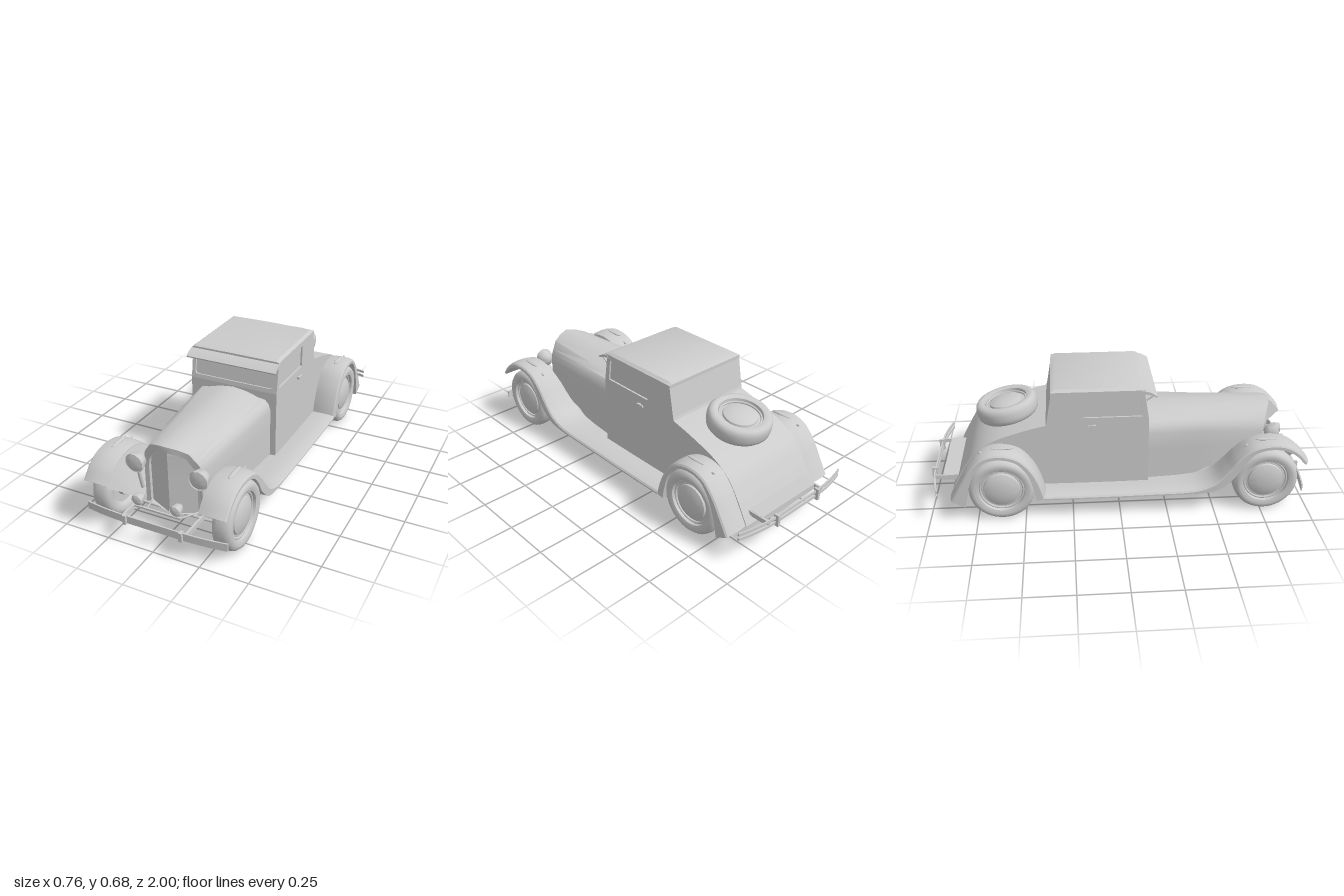
import * as THREE from 'three';
import { toCreasedNormals } from 'three/addons/utils/BufferGeometryUtils.js';

const mat = new THREE.MeshStandardMaterial({ color: 0xcccccc, side: THREE.DoubleSide });

export function createModel() {
  const root = new THREE.Group();
  const add = (name, geo, x = 0, y = 0, z = 0, parent = root) => {
    const m = new THREE.Mesh(geo, mat);
    m.name = name;
    m.position.set(x, y, z);
    parent.add(m);
    return m;
  };
  const box = (w, h, d) => new THREE.BoxGeometry(w, h, d);
  const v2 = (p) => p.map(([a, b]) => new THREE.Vector2(a, b));
  const lathe = (pts, seg = 40) => toCreasedNormals(new THREE.LatheGeometry(v2(pts), seg), 0.7);
  const rod = (name, a, b, r) => {
    const p = new THREE.Vector3(...a), q = new THREE.Vector3(...b);
    add(name, new THREE.TubeGeometry(new THREE.LineCurve3(p, q), 1, r, 8));
  };

  // Skin a series of equal-length cross-sections
  const loft = (rings, closed = false, caps = false) => {
    const n = rings[0].length, idx = [];
    for (let i = 0; i + 1 < rings.length; i++)
      for (let j = 0; j < (closed ? n : n - 1); j++) {
        const k = (j + 1) % n, a = i * n + j, b = i * n + k;
        idx.push(a, b, a + n, b, b + n, a + n);
      }
    if (caps)
      for (const o of [0, (rings.length - 1) * n])
        for (let j = 1; j < n - 1; j++) o ? idx.push(o, o + j, o + j + 1) : idx.push(o, o + j + 1, o + j);
    const g = new THREE.BufferGeometry();
    g.setAttribute('position', new THREE.Float32BufferAttribute(rings.flat(2), 3));
    g.setIndex(idx);
    return toCreasedNormals(g, 0.6);
  };

  // Extrude a (z, y) outline across x
  const across = (shape, x0, width) => {
    const g = new THREE.ExtrudeGeometry(shape, { depth: width, bevelEnabled: false, curveSegments: 16 });
    g.rotateY(-Math.PI / 2).translate(x0 + width, 0, 0);
    return toCreasedNormals(g, 0.5);
  };
  const roundRect = (x0, y0, x1, y1, r, T = THREE.Path) => {
    const p = new T();
    p.moveTo(x0 + r, y0);
    p.lineTo(x1 - r, y0); p.quadraticCurveTo(x1, y0, x1, y0 + r);
    p.lineTo(x1, y1 - r); p.quadraticCurveTo(x1, y1, x1 - r, y1);
    p.lineTo(x0 + r, y1); p.quadraticCurveTo(x0, y1, x0, y1 - r);
    p.lineTo(x0, y0 + r); p.quadraticCurveTo(x0, y0, x0 + r, y0);
    return p;
  };

  // Lower body with sloping rear deck
  const body = new THREE.Shape(v2([[0.155, 0.115], [0.155, 0.5], [-0.375, 0.5], [-0.38, 0.485]]));
  body.splineThru(v2([[-0.5, 0.455], [-0.65, 0.405], [-0.75, 0.34], [-0.82, 0.245], [-0.885, 0.125]]));
  body.lineTo(-0.2, 0.112);
  add('lowerBody', across(body, -0.25, 0.5));

  // Cabin: sides with window openings, back wall, windscreen, roof and visor
  const side = () => new THREE.Shape(v2([[0.155, 0.5], [0.13, 0.66], [-0.347, 0.66], [-0.375, 0.5]]));
  for (const s of [1, -1]) {
    const panel = side();
    panel.holes.push(new THREE.Path(v2([[0.122, 0.522], [-0.186, 0.522], [-0.19, 0.638], [0.108, 0.638]])));
    add('cabinSide', across(panel, s > 0 ? 0.232 : -0.25, 0.018));
    add('sideGlass', box(0.006, 0.14, 0.34), s * 0.237, 0.58, -0.035);
    add('doorHandlePost', box(0.016, 0.014, 0.014), s * 0.256, 0.475, -0.13);
    add('doorHandle', box(0.008, 0.01, 0.045), s * 0.262, 0.478, -0.14);
  }
  const back = new THREE.Shape(v2([[-0.375, 0.5], [-0.347, 0.66], [-0.32, 0.66], [-0.345, 0.5]]));
  add('cabinBack', across(back, -0.25, 0.5));

  const screen = new THREE.Group();
  screen.name = 'windscreen';
  screen.position.set(0, 0.5, 0.155);
  screen.rotation.x = -0.155;
  root.add(screen);
  const frame = new THREE.Shape(v2([[-0.25, 0], [0.25, 0], [0.25, 0.16], [-0.25, 0.16]]));
  frame.holes.push(roundRect(-0.23, 0.023, 0.23, 0.132, 0.02));
  add('windscreenFrame', new THREE.ExtrudeGeometry(frame, { depth: 0.018, bevelEnabled: false }), 0, 0, -0.018, screen);
  add('windscreenGlass', box(0.48, 0.13, 0.004), 0, 0.078, -0.013, screen);

  const roofAt = (z, k) => [[-0.252, 0.655], [-0.252, 0.67], [-0.236, 0.67 + 0.012 * k], [0, 0.67 + 0.016 * k],
    [0.236, 0.67 + 0.012 * k], [0.252, 0.67], [0.252, 0.655]].map(([x, y]) => [x, y, z]);
  add('roof', loft([roofAt(0.135, 0.3), roofAt(0.11, 1), roofAt(-0.325, 1), roofAt(-0.35, 0.2)], true, true));
  const visor = new THREE.Shape(v2([[0.12, 0.668], [0.16, 0.658], [0.195, 0.637], [0.192, 0.63], [0.155, 0.645], [0.12, 0.652]]));
  add('sunVisor', across(visor, -0.256, 0.512));
  for (const s of [1, -1]) rod('visorBracket', [s * 0.24, 0.61, 0.14], [s * 0.24, 0.64, 0.185], 0.005);

  // Hood, radiator shell and recessed V-shaped grille in one skin
  const hoodRing = (w, shoulder, z, sweep, sx = 1, drop = 0) => {
    const half = [[1, 0.12], [1, 0.3], [1, shoulder], [0.95, shoulder + 0.035], [0.85, shoulder + 0.057],
      [0.66, 0.463], [0.35, 0.483], [0, 0.493]];
    const pt = (s) => ([k, y]) => [s * k * w * sx, y > 0.3 ? y - drop : y, z - sweep * k ** 1.3];
    return [...half.map(pt(1)), ...half.slice(0, -1).reverse().map(pt(-1))];
  };
  add('hoodAndGrille', loft([
    hoodRing(0.218, 0.4, 0.15, 0), hoodRing(0.196, 0.39, 0.45, 0.01), hoodRing(0.162, 0.365, 0.835, 0.055),
    hoodRing(0.158, 0.363, 0.845, 0.057), hoodRing(0.158, 0.363, 0.845, 0.057, 0.84, 0.03),
    hoodRing(0.158, 0.363, 0.828, 0.057, 0.83, 0.031),
  ]));
  const gr = hoodRing(0.158, 0.363, 0.828, 0.057, 0.83, 0.031);
  add('grille', loft([gr, gr.map(([, y]) => [0, y, 0.832])]));
  add('noseFloor', loft([[[-0.21, 0.12, 0.15], [0.21, 0.12, 0.15]], [[-0.158, 0.12, 0.785], [0.158, 0.12, 0.785]],
    [[-0.01, 0.12, 0.83], [0.01, 0.12, 0.83]]]));

  // Fenders and running boards: path points are z, y, thickness
  const frontPath = [[0.985, 0.29, 0.025], [0.93, 0.35, 0.028], [0.86, 0.389, 0.03], [0.77, 0.398, 0.03], [0.68, 0.375, 0.035],
    [0.61, 0.315, 0.045], [0.56, 0.25, 0.055], [0.5, 0.185, 0.05], [0.43, 0.152, 0.032], [0.34, 0.14, 0.023],
    [0.2, 0.138, 0.022], [0, 0.136, 0.022], [-0.2, 0.136, 0.022], [-0.4, 0.138, 0.022]];
  const rearPath = [[-0.39, 0.125, 0.05], [-0.41, 0.2, 0.045], [-0.45, 0.29, 0.035], [-0.52, 0.367, 0.03], [-0.62, 0.396, 0.03],
    [-0.71, 0.377, 0.03], [-0.78, 0.31, 0.038], [-0.835, 0.22, 0.055], [-0.885, 0.13, 0.085]];
  const sample = (path, n) => new THREE.CatmullRomCurve3(path.map((p) => new THREE.Vector3(...p)), false, 'centripetal').getPoints(n);
  const fender = (pts, s, inner) => loft(pts.map((p, i) => {
    const a = pts[Math.max(i - 1, 0)], b = pts[Math.min(i + 1, pts.length - 1)];
    const dz = b.x - a.x, dy = b.y - a.y, l = Math.hypot(dz, dy);
    const nz = dy / l, ny = -dz / l, xi = inner(p.x);
    return [[xi, -p.z], [xi, -0.008], [0.28, 0], [0.315, 0.002], [0.35, 0], [0.374, -0.006], [0.381, -0.014], [0.381, -p.z]]
      .map(([x, o]) => [s * x, p.y + ny * o, p.x + nz * o]);
  }), true, true);
  const innerX = (z) => 0.2 + 0.04 * THREE.MathUtils.smoothstep(z, 0.45, 0.7);
  const front = sample(frontPath, 70), rear = sample(rearPath, 44);
  for (const s of [1, -1]) {
    add('frontFenderAndRunningBoard', fender(front, s, innerX));
    add('rearFender', fender(rear, s, () => 0.24));
    // Splash apron between front fender and frame
    add('fenderApron', loft(front.filter((p) => p.x > 0.35).map((p) => {
      const z = Math.min(p.x, 0.84), low = Math.min(0.16, p.y - 0.01), x = 0.168 + 0.03 * (0.84 - z);
      return [[s * innerX(p.x), p.y - 0.012, p.x], [s * (innerX(p.x) * 0.6 + x * 0.4), p.y * 0.5 + low * 0.5, (p.x + z) / 2], [s * x, low, z]];
    })));
    // Fender lamps
    for (const [z, y, len] of [[0.765, 0.4, 0.06], [0.66, 0.366, 0.012], [-0.605, 0.397, 0.058], [-0.715, 0.377, 0.012]]) {
      const lamp = add('fenderLamp', new THREE.SphereGeometry(1, 16, 10), s * 0.315, y, z);
      lamp.scale.set(len > 0.02 ? 0.012 : 0.006, 0.007, len);
      if (len < 0.02) lamp.rotation.x = Math.sign(z) * -0.45;
    }
  }

  // Wheels, with axis along x and the hub facing +x
  const tire = [[0.105, -0.03], [0.118, -0.044], [0.14, -0.051], [0.158, -0.047], [0.169, -0.034], [0.173, -0.015],
    [0.173, 0.015], [0.169, 0.034], [0.158, 0.047], [0.14, 0.051], [0.12, 0.044], [0.117, 0.03]];
  const disc = [[0, -0.025], [0.105, -0.03], [0.106, 0.022], [0.094, 0.024], [0.091, 0.034], [0.07, 0.043], [0.04, 0.049], [0, 0.051]];
  const wheel = (name, x, y, z) => {
    const g = new THREE.Group();
    g.name = name;
    g.position.set(x, y, z);
    add('tire', lathe(tire, 48).rotateZ(-Math.PI / 2), 0, 0, 0, g);
    add('hubcap', lathe(disc, 48).rotateZ(-Math.PI / 2), 0, 0, 0, g);
    add('rimRing', new THREE.TorusGeometry(0.112, 0.006, 8, 48).rotateY(Math.PI / 2), 0.026, 0, 0, g);
    add('brakeDrum', new THREE.CylinderGeometry(0.065, 0.065, 0.03, 28).rotateZ(Math.PI / 2), -0.04, 0, 0, g);
    root.add(g);
    return g;
  };
  for (const s of [1, -1])
    for (const [name, z] of [['frontWheel', 0.768], ['rearWheel', -0.618]])
      wheel(name, s * 0.326, 0.176, z).rotation.y = s > 0 ? 0 : Math.PI;
  const spare = wheel('spareWheel', 0, 0.487, -0.588);
  spare.scale.setScalar(0.96);
  spare.rotation.set(-0.19, 0, Math.PI / 2);
  add('spareMount', new THREE.CylinderGeometry(0.05, 0.05, 0.08, 20), 0, 0.44, -0.585);

  // Axles
  const axle = [[-0.28, 0.17], [-0.255, 0.125], [-0.235, 0.1], [0, 0.09], [0.235, 0.1], [0.255, 0.125], [0.28, 0.17]];
  add('frontAxle', new THREE.TubeGeometry(new THREE.CatmullRomCurve3(axle.map(([x, y]) => new THREE.Vector3(x, y, 0.768))), 40, 0.007, 8));
  rod('rearAxle', [-0.3, 0.176, -0.618], [0.3, 0.176, -0.618], 0.015);

  // Headlights and fog lights
  const bowl = (r, d) => lathe([[0, -d], [r * 0.45, -d * 0.92], [r * 0.8, -d * 0.6], [r * 0.97, 0], [r, 0.006],
    [r * 0.95, 0.014], [r * 0.88, 0.01], [r * 0.5, 0.015], [0, 0.017]], 32).rotateX(Math.PI / 2);
  for (const s of [1, -1]) {
    add('headlight', bowl(0.051, 0.055), s * 0.173, 0.363, 0.842);
    rod('headlightPost', [s * 0.173, 0.33, 0.825], [s * 0.168, 0.2, 0.8], 0.009);
    add('fogLight', bowl(0.029, 0.045), s * 0.103, 0.235, 0.942);
    rod('fogLightPost', [s * 0.103, 0.215, 0.932], [s * 0.103, 0.19, 0.935], 0.005);
    rod('fogBarStrut', [s * 0.078, 0.19, 0.935], [s * 0.095, 0.15, 0.88], 0.004);
    rod('fogBarStay', [s * 0.095, 0.15, 0.88], [s * 0.13, 0.13, 0.78], 0.004);
  }
  add('fogLightBar', box(0.25, 0.009, 0.009), 0, 0.193, 0.938);

  // Bumpers, with the ends swept toward the body
  const bumper = (h, bend) => {
    const g = box(0.76, h, 0.008, 1).toNonIndexed() && new THREE.BoxGeometry(0.76, h, 0.008, 32);
    const p = g.attributes.position;
    for (let i = 0; i < p.count; i++) p.setZ(i, p.getZ(i) - bend * Math.max(0, Math.abs(p.getX(i)) - 0.14) ** 2);
    g.computeVertexNormals();
    return g;
  };
  add('frontBumper', bumper(0.04, 0.35), 0, 0.134, 0.982);
  for (const y of [0.16, 0.187]) add('rearBumperBar', bumper(0.014, -0.6), 0, y, -0.982);
  for (const s of [1, -1]) {
    add('frontBumperClip', box(0.018, 0.048, 0.026), s * 0.152, 0.136, 0.986);
    add('frontBumperArm', box(0.012, 0.025, 0.26), s * 0.172, 0.137, 0.85);
    add('rearBumperClip', box(0.016, 0.062, 0.028), s * 0.152, 0.173, -0.986);
    add('rearBumperArm', box(0.012, 0.022, 0.13), s * 0.2, 0.172, -0.915);
  }
  add('rearShelf', box(0.4, 0.032, 0.09), 0, 0.168, -0.892);
  return root;
}
